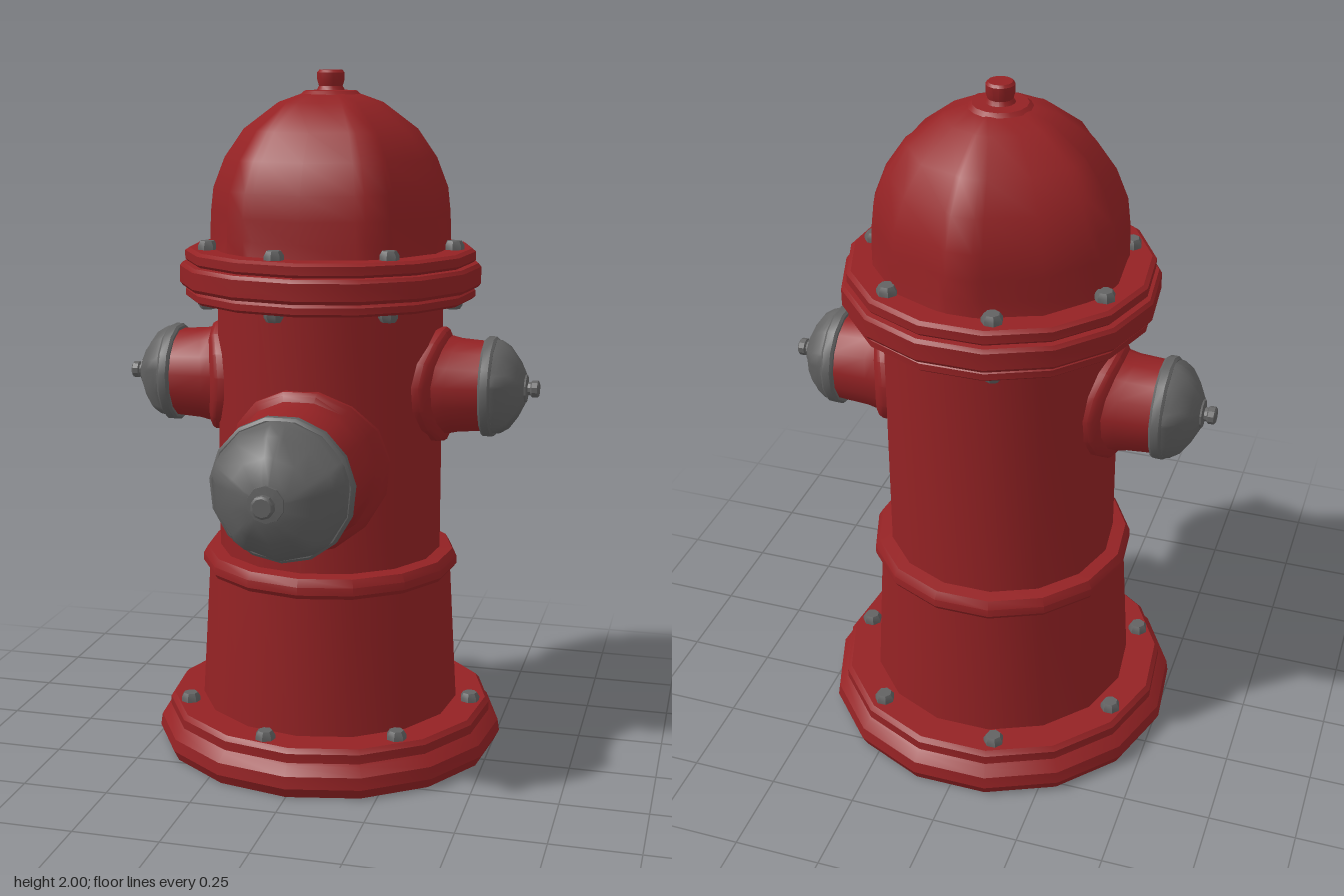
import * as THREE from 'three';
import { toCreasedNormals } from 'three/addons/utils/BufferGeometryUtils.js';

const SIDES = 15;
const BARREL = 0.33;
const AXIS_Z = -0.107;
const red = new THREE.MeshStandardMaterial({ color: 0x942224, side: THREE.DoubleSide });
const grey = new THREE.MeshStandardMaterial({ color: 0x626262 });

const points = (profile) => profile.map(([r, y]) => new THREE.Vector2(r, y));

function part(name, geometry, material, crease = 0.55) {
  const mesh = new THREE.Mesh(toCreasedNormals(geometry, crease), material);
  mesh.name = name;
  return mesh;
}

// Profiles run from bottom to top as [radius, height]
function turned(name, profile, material = red, sides = SIDES) {
  return part(name, new THREE.LatheGeometry(points(profile), sides), material);
}

// Dome with five raised ribs and sunken panels between them
function ribbedDome(name, profile, material) {
  const angles = [-6, 6, 10, 36, 62];
  const sunk = [0, 0, 1, 0, 1];
  const geo = new THREE.LatheGeometry(points(profile), 25);
  const pos = geo.attributes.position;
  const n = profile.length;
  for (let i = 0; i < pos.count; i++) {
    const col = Math.floor(i / n) % 25;
    const row = i % n;
    const phi = Math.PI + THREE.MathUtils.degToRad(angles[col % 5] + 72 * Math.floor(col / 5));
    const inset = row > 0 && row < n - 2 ? 0.035 * sunk[col % 5] : 0;
    const r = profile[row][0] * (1 - inset);
    pos.setXYZ(i, r * Math.sin(phi), profile[row][1], r * Math.cos(phi));
  }
  return part(name, geo, material, 0.75);
}

// Ring of seven bolts; dir is -1 for heads pointing down
function boltRing(name, radius, y, dir) {
  const ring = new THREE.Group();
  ring.name = name;
  for (let k = 0; k < 7; k++) {
    const a = (k / 7) * Math.PI * 2 - 0.03;
    const bolt = turned('bolt', [[0, -0.01], [0.029, -0.01], [0.029, 0.012], [0.021, 0.025], [0, 0.025]], grey, 7);
    bolt.position.set(radius * Math.cos(a), y, radius * Math.sin(a));
    if (dir < 0) bolt.rotation.x = Math.PI;
    ring.add(bolt);
  }
  return ring;
}

// Outlet along local +y: neck with a saddle foot on the barrel, and a ribbed cap
function outlet(name, { foot, neck, rim, start, end, nut }) {
  const group = new THREE.Group();
  group.name = name;

  // Heights below 0.1 are offsets from the curved barrel surface
  const neckGeo = new THREE.LatheGeometry(points([
    [foot, -0.02], [foot, 0.012], [foot * 0.96, 0.022], [neck * 1.05, 0.03], [neck, 0.06], [neck * 0.96, start + 0.01],
  ]), SIDES);
  const pos = neckGeo.attributes.position;
  for (let i = 0; i < pos.count; i++) {
    if (pos.getY(i) < 0.1) {
      pos.setY(i, pos.getY(i) + Math.sqrt(BARREL ** 2 - pos.getX(i) ** 2));
    }
  }
  const domeStart = start + 0.033;
  const span = end - domeStart;
  group.add(
    part('outletNeck', neckGeo, red),
    turned('capRim', [
      [0, start], [rim * 0.96, start], [rim, start + 0.007], [rim, start + 0.028],
      [rim * 0.96, start + 0.035], [0, start + 0.035],
    ], grey),
    ribbedDome('capDome', [
      [rim * 0.95, domeStart], [rim * 0.93, domeStart + span * 0.18], [rim * 0.82, domeStart + span * 0.48],
      [rim * 0.58, domeStart + span * 0.78], [rim * 0.32, end], [0, end],
    ], grey),
    turned('capNut', [
      [nut * 1.7, end - 0.01], [nut * 1.6, end + 0.005], [nut * 0.75, end + 0.008],
      [nut * 0.8, end + 0.016], [nut, end + 0.02], [nut, end + 0.036], [nut * 0.8, end + 0.04], [0, end + 0.04],
    ], grey, 10),
  );
  return group;
}

export function createModel() {
  const model = new THREE.Group();
  model.name = 'hydrant';
  const body = new THREE.Group();
  body.name = 'body';
  body.position.z = AXIS_Z;
  model.add(body);

  // Hollow foot, tapered skirt and barrel
  body.add(
    turned('baseFlange', [
      [0.36, 0.08], [0.465, 0.08], [0.485, 0], [0.505, 0], [0.52, 0.03], [0.515, 0.065],
      [0.495, 0.088], [0.487, 0.095], [0.487, 0.122], [0.475, 0.135], [0.37, 0.135],
    ]),
    turned('skirt', [[0.388, 0.08], [0.386, 0.135], [0.362, 0.55]]),
    turned('skirtCollar', [
      [0.35, 0.542], [0.372, 0.542], [0.381, 0.555], [0.381, 0.578], [0.368, 0.6], [0.325, 0.605],
    ]),
    turned('barrel', [[BARREL, 0.55], [BARREL, 1.37]]),
  );

  // Layered flange under the bonnet
  body.add(turned('bonnetFlange', [
    [0.3, 1.352], [0.412, 1.352], [0.422, 1.36], [0.422, 1.378], [0.414, 1.386], [0.43, 1.388],
    [0.438, 1.398], [0.438, 1.446], [0.43, 1.456], [0.414, 1.458], [0.422, 1.466], [0.422, 1.49],
    [0.41, 1.498], [0.3, 1.498],
  ]));

  // Bonnet with its top boss
  body.add(
    ribbedDome('bonnet', [
      [0.348, 1.49], [0.348, 1.54], [0.346, 1.6], [0.338, 1.67], [0.305, 1.755], [0.25, 1.835],
      [0.15, 1.91], [0.08, 1.935], [0, 1.935],
    ], red),
    turned('topBoss', [
      [0.098, 1.905], [0.092, 1.928], [0.075, 1.942], [0.04, 1.944], [0.034, 1.955],
      [0.039, 1.972], [0.039, 1.993], [0.033, 2], [0, 2],
    ]),
  );

  body.add(
    boltRing('baseBolts', 0.432, 0.135, 1),
    boltRing('baseNuts', 0.432, 0.08, -1),
    boltRing('flangeBolts', 0.362, 1.498, 1),
    boltRing('flangeNuts', 0.362, 1.352, -1),
  );

  // Large front outlet and a mirrored pair of side outlets
  const front = outlet('frontOutlet', { foot: 0.235, neck: 0.2, rim: 0.204, start: 0.507, end: 0.682, nut: 0.032 });
  front.rotation.x = Math.PI / 2;
  front.position.y = 0.9;
  body.add(front);

  for (const side of [1, -1]) {
    const name = side > 0 ? 'leftOutlet' : 'rightOutlet';
    const arm = outlet(name, { foot: 0.168, neck: 0.137, rim: 0.146, start: 0.46, end: 0.578, nut: 0.025 });
    arm.rotation.set(Math.PI / 2, 0, -side * Math.PI / 2, 'YXZ');
    arm.rotation.y = side * Math.PI / 2;
    arm.rotation.z = 0;
    arm.position.y = 1.105;
    body.add(arm);
  }

  return model;
}
